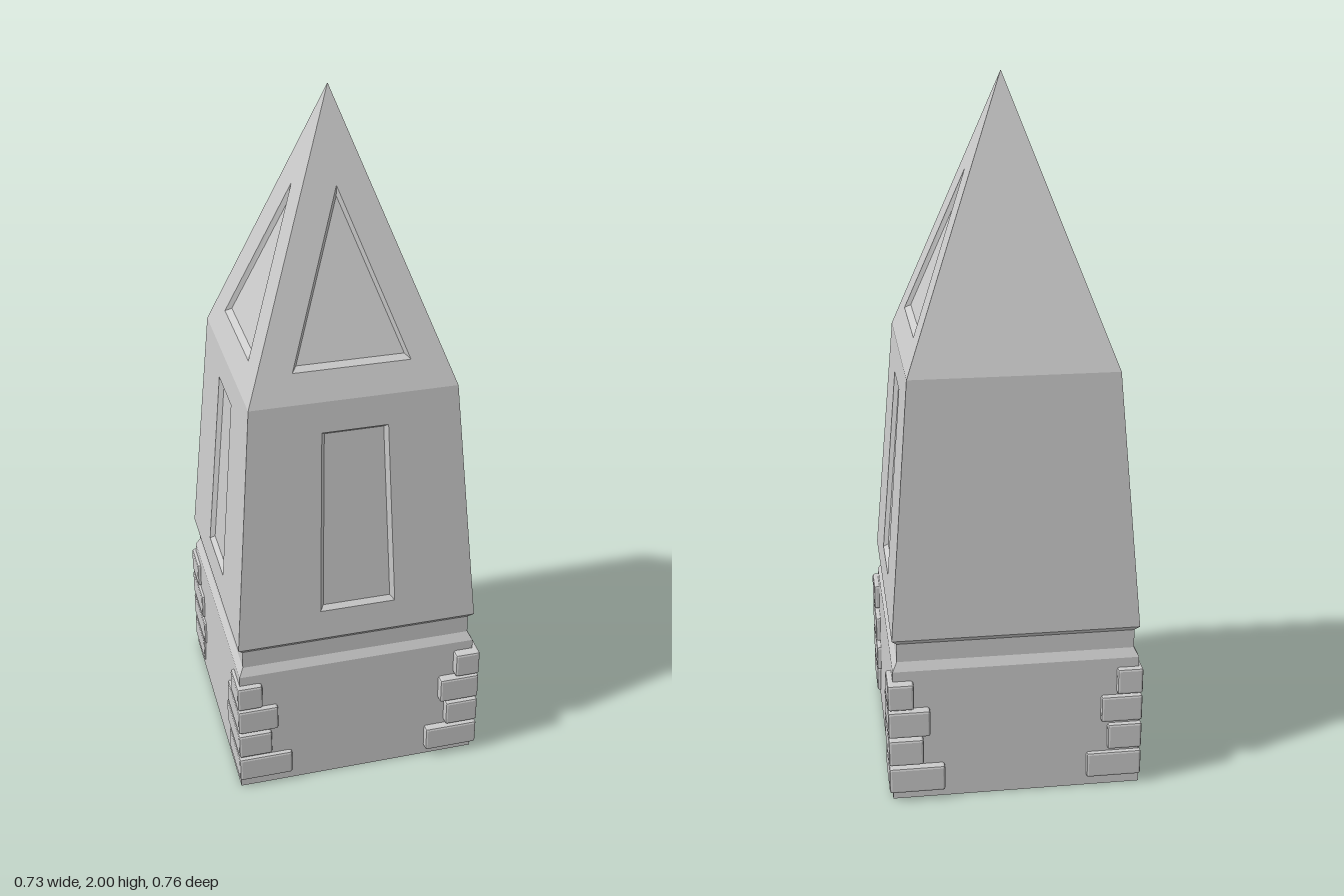
import * as THREE from 'three';
import { RoundedBoxGeometry } from 'three/addons/geometries/RoundedBoxGeometry.js';

const mat = new THREE.MeshStandardMaterial({ color: 0xcccccc, flatShading: true });

// Half width of the square shaft at each height: [y, half]
const PROFILE = [[0, 0.357], [0.4, 0.35], [0.425, 0.337], [0.48, 0.337], [0.495, 0.35], [1.23, 0.29], [2, 0]];
const TIERS = ['base', 'grooveSill', 'groove', 'grooveLip', 'shaft', 'spire'];
const DEPTH = 0.013;

// Symmetric outline, counter-clockwise: bottom and top height with half widths
function outline(y0, h0, y1, h1) {
  const pts = [[-h0, y0], [h0, y0]];
  if (h1 > 0) pts.push([h1, y1], [-h1, y1]);
  else pts.push([0, y1]);
  return pts.map(([x, y]) => new THREE.Vector2(x, y));
}

// One sloping face of a tier, optionally with a recessed panel
function tierFace(i, panel) {
  const [y0, h0] = PROFILE[i], [y1, h1] = PROFILE[i + 1];
  const lift = (p, d) => [p.x, p.y, h0 + (h1 - h0) * (p.y - y0) / (y1 - y0) - d];
  const pos = [];

  const fill = (loop, hole, d) => {
    const pts = hole ? loop.concat(hole) : loop;
    for (const tri of THREE.ShapeUtils.triangulateShape(loop, hole ? [hole] : [])) {
      const [a, b, c] = tri.map((k) => pts[k]);
      const ccw = (b.x - a.x) * (c.y - a.y) - (b.y - a.y) * (c.x - a.x) > 0;
      for (const p of ccw ? [a, b, c] : [a, c, b]) pos.push(...lift(p, d));
    }
  };

  const rim = panel && outline(...panel.rim);
  fill(outline(y0, h0, y1, h1), rim, 0);
  if (panel) {
    // Recess floor and its slanted walls
    const floor = outline(...panel.floor);
    fill(floor, null, DEPTH);
    rim.forEach((p, k) => {
      const n = (k + 1) % rim.length;
      const a = lift(p, 0), b = lift(rim[n], 0);
      const c = lift(floor[n], DEPTH), d = lift(floor[k], DEPTH);
      pos.push(...a, ...b, ...c, ...a, ...c, ...d);
    });
  }
  const g = new THREE.BufferGeometry();
  g.setAttribute('position', new THREE.Float32BufferAttribute(pos, 3));
  g.computeVertexNormals();
  return g;
}

// Recessed panels: tall trapezoid on the shaft, triangle on the spire
const frontPanels = {
  shaft: { rim: [0.585, 0.109, 1.14, 0.093], floor: [0.597, 0.098, 1.13, 0.083] },
  spire: { rim: [1.31, 0.163, 1.755, 0], floor: [1.322, 0.149, 1.725, 0] },
};
const sidePanels = {
  shaft: { rim: [0.585, 0.1, 1.14, 0.084], floor: [0.597, 0.09, 1.13, 0.074] },
  spire: { rim: [1.31, 0.16, 1.738, 0], floor: [1.322, 0.146, 1.708, 0] },
};

// Corner stones from the bottom up: [y0, y1, inner x, inner z]
const STONES = [
  [0.028, 0.107, 0.205, 0.222],
  [0.116, 0.196, 0.265, 0.196],
  [0.205, 0.286, 0.245, 0.219],
  [0.292, 0.371, 0.29, 0.275],
];

export function createModel() {
  const model = new THREE.Group();
  model.name = 'obelisk';

  // Four sides; the back stays plain
  const body = new THREE.Group();
  body.name = 'body';
  body.position.x = -0.003;
  const sides = [['front', frontPanels], ['left', sidePanels], ['back', {}], ['right', sidePanels]];
  sides.forEach(([name, panels], k) => {
    const side = new THREE.Group();
    side.name = name + 'Side';
    side.rotation.y = k * Math.PI / 2;
    TIERS.forEach((tier, i) => {
      const mesh = new THREE.Mesh(tierFace(i, panels[tier]), mat);
      mesh.name = tier + 'Face';
      side.add(mesh);
    });
    body.add(side);
  });

  // Underside
  const w = PROFILE[0][1] * 2;
  const underside = new THREE.Mesh(new THREE.PlaneGeometry(w, w).rotateX(Math.PI / 2), mat);
  underside.name = 'underside';
  body.add(underside);
  model.add(body);

  // Stacked stones wrapping each corner of the base
  for (const sx of [-1, 1]) for (const sz of [-1, 1]) {
    const corner = new THREE.Group();
    corner.name = (sz > 0 ? 'front' : 'back') + (sx > 0 ? 'Left' : 'Right') + 'CornerStones';
    const outX = 0.364, outZ = sx > 0 ? 0.378 : 0.368;
    for (const [y0, y1, inX, inZ0] of STONES) {
      const inZ = inZ0 - (sx > 0 ? 0 : 0.01);
      const stone = new THREE.Mesh(new RoundedBoxGeometry(outX - inX, y1 - y0, outZ - inZ, 1, 0.007), mat);
      stone.name = 'cornerStone';
      stone.position.set(sx * (outX + inX) / 2, (y0 + y1) / 2, sz * (outZ + inZ) / 2);
      corner.add(stone);
    }
    model.add(corner);
  }
  return model;
}
